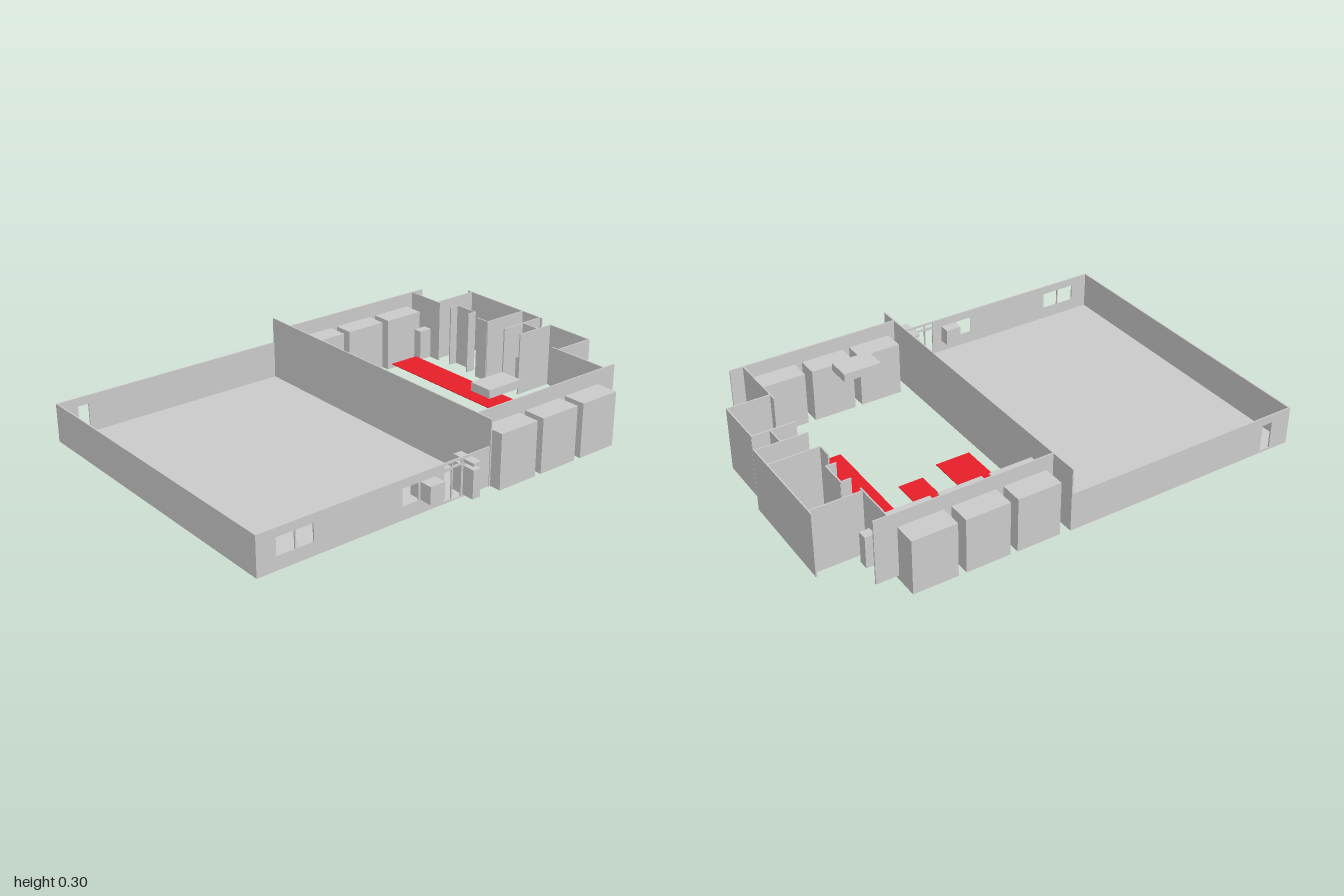
import * as THREE from 'three';

const T = 0.006; // wall thickness
const BASE = 0.02; // underside of walls
const grey = new THREE.MeshStandardMaterial({ color: 0xcccccc, side: THREE.DoubleSide });
const red = new THREE.MeshStandardMaterial({ color: 0xe81f2a, side: THREE.DoubleSide });

// Box given by its extents on each axis
function block(parent, name, [x0, x1], [y0, y1], [z0, z1], material = grey) {
  const mesh = new THREE.Mesh(new THREE.BoxGeometry(x1 - x0, y1 - y0, z1 - z0), material);
  mesh.position.set((x0 + x1) / 2, (y0 + y1) / 2, (z0 + z1) / 2);
  mesh.name = name;
  parent.add(mesh);
}

// Thin wall along x with rectangular openings [x0, x1, y0, y1]
function piercedWall(parent, name, [x0, x1], [y0, y1], z, openings) {
  const rect = (path, a, b, c, d) =>
    path.moveTo(a, c).lineTo(b, c).lineTo(b, d).lineTo(a, d).closePath();
  const shape = new THREE.Shape();
  rect(shape, x0, x1, y0, y1);
  for (const o of openings) {
    const hole = new THREE.Path();
    rect(hole, ...o);
    shape.holes.push(hole);
  }
  const geometry = new THREE.ExtrudeGeometry(shape, { depth: T, bevelEnabled: false });
  const mesh = new THREE.Mesh(geometry, grey);
  mesh.position.z = z;
  mesh.name = name;
  parent.add(mesh);
}

function createHall() {
  const hall = new THREE.Group();
  hall.name = 'hall';
  const top = 0.187;
  block(hall, 'hallFloor', [-1, 0.08], [BASE, BASE + 0.004], [-0.72, 0.665]);
  block(hall, 'hallEndWall', [-1, -1 + T], [BASE, top], [-0.72, 0.665]);
  block(hall, 'dividingWall', [0.08 - T, 0.08], [BASE, 0.3], [-0.72, 0.668]);
  // Back wall with its doorway
  piercedWall(hall, 'hallBackWall', [-1, 0.08], [BASE, top], -0.72, [[-0.907, -0.858, 0.03, 0.15]]);
  // Front wall with windows, doorway and the lights above it
  piercedWall(hall, 'hallFrontWall', [-1, 0.08], [BASE, top], 0.665 - T, [
    [-0.917, -0.838, 0.077, 0.15],
    [-0.832, -0.757, 0.077, 0.15],
    [-0.357, -0.28, 0.077, 0.15],
    [-0.155, -0.118, 0.03, 0.15],
    [-0.155, -0.118, 0.163, 0.178],
    [-0.112, -0.07, 0.025, 0.155],
    [-0.112, -0.07, 0.163, 0.178],
  ]);
  // Solid blocks set through the front wall
  block(hall, 'windowBlock', [-0.27, -0.2], [0.077, 0.15], [0.61, 0.72]);
  block(hall, 'doorBlock', [-0.06, -0.022], [0.03, 0.15], [0.61, 0.72]);
  block(hall, 'doorCapBlock', [-0.06, -0.022], [0.165, 0.178], [0.61, 0.72]);
  return hall;
}

function createRoom() {
  const room = new THREE.Group();
  room.name = 'room';
  const h = [BASE, 0.3];

  // Walls running along x: [z, x0, x1]
  const alongX = [
    [-0.595, 0.08, 0.84], [0.588, 0.08, 0.84],
    [-0.42, 0.78, 0.998], [0.018, 0.776, 0.998], [-0.09, 0.78, 0.998],
    [-0.33, 0.78, 0.824], [-0.215, 0.78, 0.824],
    [0.11, 0.78, 0.968], [0.335, 0.78, 0.968],
  ];
  for (const [z, x0, x1] of alongX) block(room, 'crossWall', [x0, x1], h, [z - T / 2, z + T / 2]);

  // Walls running along z: [x, z0, z1]
  const alongZ = [
    [0.78, -0.595, -0.4], [0.78, 0.3, 0.59], [0.78, -0.155, -0.09],
    [0.997, -0.445, -0.03 + 0.06], [0.822, -0.33, -0.215],
    [0.966, 0.11, 0.335], [0.89, 0.018, 0.11],
  ];
  for (const [x, z0, z1] of alongZ) block(room, 'endWall', [x - T / 2, x + T / 2], h, [z0, z1]);

  // Cabinet rows standing through both side walls
  for (const x of [0.11, 0.332, 0.555]) {
    block(room, 'backCabinet', [x, x + 0.19], [0, 0.237], [-0.695, -0.5]);
    block(room, 'frontCabinet', [x, x + 0.19], [0, 0.237], [0.492, 0.69]);
  }

  // Door blocks and raised slab
  block(room, 'backDoorBlock', [0.715, 0.825], [BASE, 0.158], [-0.5, -0.458]);
  block(room, 'endDoorBlock', [0.84, 0.945], [BASE, 0.158], [0.033, 0.075]);
  block(room, 'raisedSlab', [0.284, 0.455], [0.248, 0.284], [0.333, 0.44]);

  // Red floor strips
  const strips = [
    [[0.13, 0.285], [-0.5, -0.092]],
    [[0.375, 0.485], [-0.465, -0.14]],
    [[0.57, 0.715], [-0.488, 0.177]],
  ];
  for (const [x, z] of strips) block(room, 'floorStrip', x, [0.025, 0.028], z, red);
  return room;
}

export function createModel() {
  const model = new THREE.Group();
  model.name = 'buildingPlan';
  model.add(createHall(), createRoom());
  return model;
}
